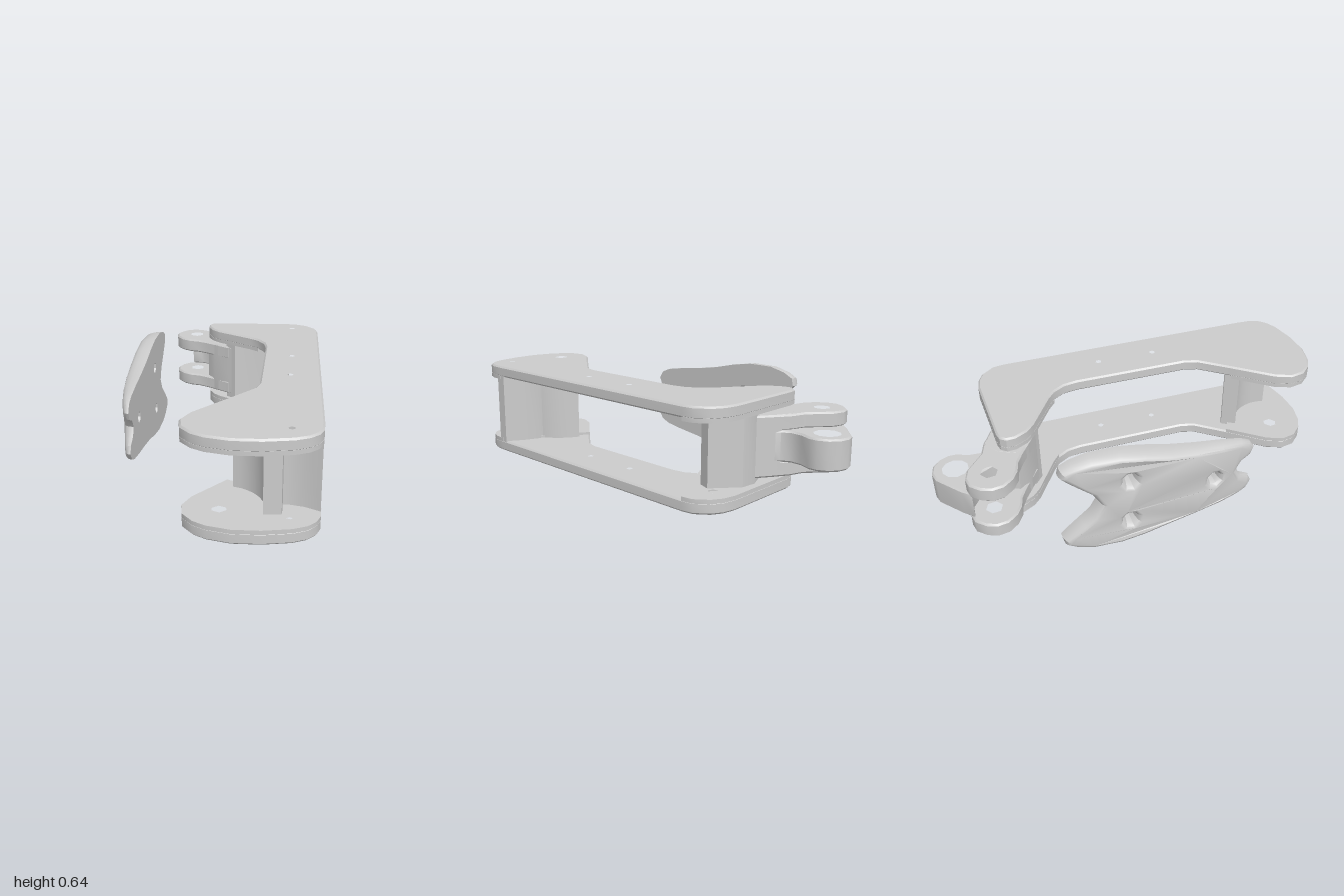
import * as THREE from 'three';
import { toCreasedNormals } from 'three/addons/utils/BufferGeometryUtils.js';

const MID = 0.322; // height of the horizontal mirror plane
const material = new THREE.MeshStandardMaterial({ color: 0xcccccc });

const vec = (pts) => pts.map(([x, y]) => new THREE.Vector2(x, y));

function ring(cx, cz, r, n = 6, start = 0.3) {
  return Array.from({ length: n }, (_, i) => {
    const a = start + (i / n) * Math.PI * 2;
    return [cx + r * Math.cos(a), cz + r * Math.sin(a)];
  });
}

// Slab with an outline in plan (x, z), between heights y0 and y1
function slab(name, outline, y0, y1, holes = [], bevel = 0.01) {
  const flip = (pts) => vec(pts.map(([x, z]) => [x, -z]));
  const shape = new THREE.Shape(flip(outline));
  shape.holes = holes.map((h) => new THREE.Path(flip(h)));
  const geo = new THREE.ExtrudeGeometry(shape, {
    depth: y1 - y0 - 2 * bevel, bevelEnabled: bevel > 0, bevelThickness: bevel,
    bevelSize: bevel, bevelOffset: -bevel, bevelSegments: 1,
  });
  geo.rotateX(-Math.PI / 2).translate(0, y0 + bevel, 0);
  const mesh = new THREE.Mesh(toCreasedNormals(geo, 0.6), material);
  mesh.name = name;
  return mesh;
}

// The same slab below and above the mirror plane
function slabPair(name, outline, y0, y1, holes, bevel) {
  const g = new THREE.Group();
  g.name = name + 's';
  g.add(slab(name + 'Lower', outline, y0, y1, holes, bevel));
  g.add(slab(name + 'Upper', outline, 2 * MID - y1, 2 * MID - y0, holes, bevel));
  return g;
}

// Domed grip cover: flat inside, bulging outside, forked at both ends
function gripCover() {
  const half = [ // from the wide fork notch round to the narrow end notch
    [-0.36, 0], [-0.40, 0.07], [-0.46, 0.12], [-0.53, 0.18], [-0.57, 0.22],
    [-0.56, 0.265], [-0.5, 0.295], [-0.4, 0.318], [-0.24, 0.318], [-0.1, 0.295],
    [0.05, 0.26], [0.2, 0.235], [0.36, 0.215], [0.48, 0.195], [0.54, 0.17],
    [0.57, 0.125], [0.55, 0.08], [0.49, 0.05], [0.46, 0],
  ];
  const lower = half.slice(1, -1).reverse().map(([s, y]) => [s, -y]);
  const shape = new THREE.Shape(vec([...half, ...lower]));
  shape.holes = [[-0.19, 0.14], [-0.19, -0.14], [0.31, 0]]
    .map(([s, y]) => new THREE.Path(vec(ring(s, y, 0.034, 8))));
  const geo = new THREE.ExtrudeGeometry(shape, {
    depth: 0.02, bevelThickness: 0.085, bevelSize: 0.035, bevelOffset: -0.035, bevelSegments: 4,
  });
  const p = geo.attributes.position;
  for (let i = 0; i < p.count; i++) {
    const s = p.getX(i);
    const taper = 1 - 0.72 * Math.pow(Math.max(0, (s + 0.1) / 0.67), 2.4)
      - 0.25 * Math.pow(Math.max(0, (-s - 0.1) / 0.47), 2);
    p.setZ(i, Math.max(0, p.getZ(i)) * taper);
  }
  geo.computeVertexNormals();
  const mesh = new THREE.Mesh(toCreasedNormals(geo, 0.6), material);
  mesh.name = 'gripCover';
  mesh.rotation.y = Math.PI + 0.613;
  mesh.position.set(-0.268, MID, -0.492);
  return mesh;
}

export function createModel() {
  const model = new THREE.Group();
  model.name = 'hingedBracket';

  // Side plates
  const outline = [
    [-0.95, 0.52], [-0.93, 0.43], [-0.87, 0.368], [-0.77, 0.345], [-0.5, 0.36], [-0.28, 0.37],
    [-0.2, 0.34], [0.36, -0.06], [0.42, -0.12], [0.455, -0.2], [0.46, -0.27], [0.445, -0.53],
    [0.455, -0.6], [0.49, -0.67], [0.53, -0.702], [0.57, -0.7], [0.605, -0.67], [0.9, -0.29],
    [0.935, -0.22], [0.945, -0.15], [0.92, -0.06], [0.87, -0.01], [-0.43, 0.935], [-0.5, 0.98],
    [-0.56, 0.995], [-0.62, 0.985], [-0.69, 0.945], [-0.8, 0.84], [-0.89, 0.72], [-0.94, 0.6],
  ];
  const plateHoles = [
    ring(-0.76, 0.53, 0.055), ring(-0.6, 0.86, 0.03), ring(0.02, 0.39, 0.03),
    ring(0.31, 0.185, 0.03), ring(0.82, -0.19, 0.03),
  ];
  model.add(slabPair('sidePlate', outline, 0.04, 0.108, plateHoles));

  // Thickened plate ends
  model.add(slabPair('frontPad', outline.filter(([x]) => x < -0.42), 0.1, 0.124,
    plateHoles.slice(0, 2), 0));
  model.add(slabPair('rearPad', outline.filter(([x]) => x > 0.43), 0.1, 0.124,
    plateHoles.slice(4), 0));

  // Front web: an arc around the large hole with a leg to the outer edge
  const arc = (r, a0, a1) => Array.from({ length: 9 }, (_, i) => {
    const a = a0 + ((a1 - a0) * i) / 8;
    return [-0.76 + r * Math.cos(a), 0.53 + r * Math.sin(a)];
  });
  model.add(slab('frontWebArc', [...arc(0.235, -0.4, 1.2), ...arc(0.325, 1.1, -0.3)],
    0.1, 2 * MID - 0.1, [], 0));
  model.add(slab('frontWebLeg', [
    [-0.57, 0.72], [-0.5, 0.64], [-0.45, 0.7], [-0.42, 0.8], [-0.405, 0.915],
    [-0.46, 0.952], [-0.475, 0.86], [-0.51, 0.78],
  ], 0.06, 2 * MID - 0.06, [], 0));

  // Rear web between the plates
  model.add(slab('rearWeb', [
    [0.7, -0.15], [0.77, -0.17], [0.78, -0.36], [0.73, -0.44], [0.62, -0.5],
    [0.48, -0.5], [0.475, -0.42], [0.56, -0.35],
  ], 0.1, 2 * MID - 0.1, [], 0));

  // Hinge: neck, two pivot lugs and a central link with an eye
  model.add(slab('hingeNeck', [
    [0.48, -0.42], [0.465, -0.6], [0.49, -0.68], [0.6, -0.7], [0.7, -0.66], [0.72, -0.55], [0.73, -0.42],
  ], 0.15, 0.495));
  model.add(slabPair('pivotLug', [
    [0.47, -0.48], [0.465, -0.66], [0.455, -0.74], [0.43, -0.8], [0.425, -0.87], [0.445, -0.94],
    [0.49, -0.985], [0.55, -1], [0.62, -0.99], [0.665, -0.95], [0.69, -0.88], [0.685, -0.8],
    [0.68, -0.73], [0.71, -0.64], [0.725, -0.48],
  ], 0.15, 0.238, [ring(0.567, -0.862, 0.06)]));
  model.add(slab('eyeLink', [
    [0.56, -0.62], [0.63, -0.72], [0.67, -0.8], [0.67, -0.9], [0.63, -0.965], [0.7, -0.958],
    [0.87, -0.915], [0.915, -0.88], [0.942, -0.82], [0.938, -0.76], [0.91, -0.71], [0.87, -0.68],
    [0.8, -0.665], [0.745, -0.63], [0.72, -0.58], [0.72, -0.5],
  ], 0.235, 0.41, [ring(0.812, -0.802, 0.085, 10)]));

  model.add(gripCover());
  return model;
}
